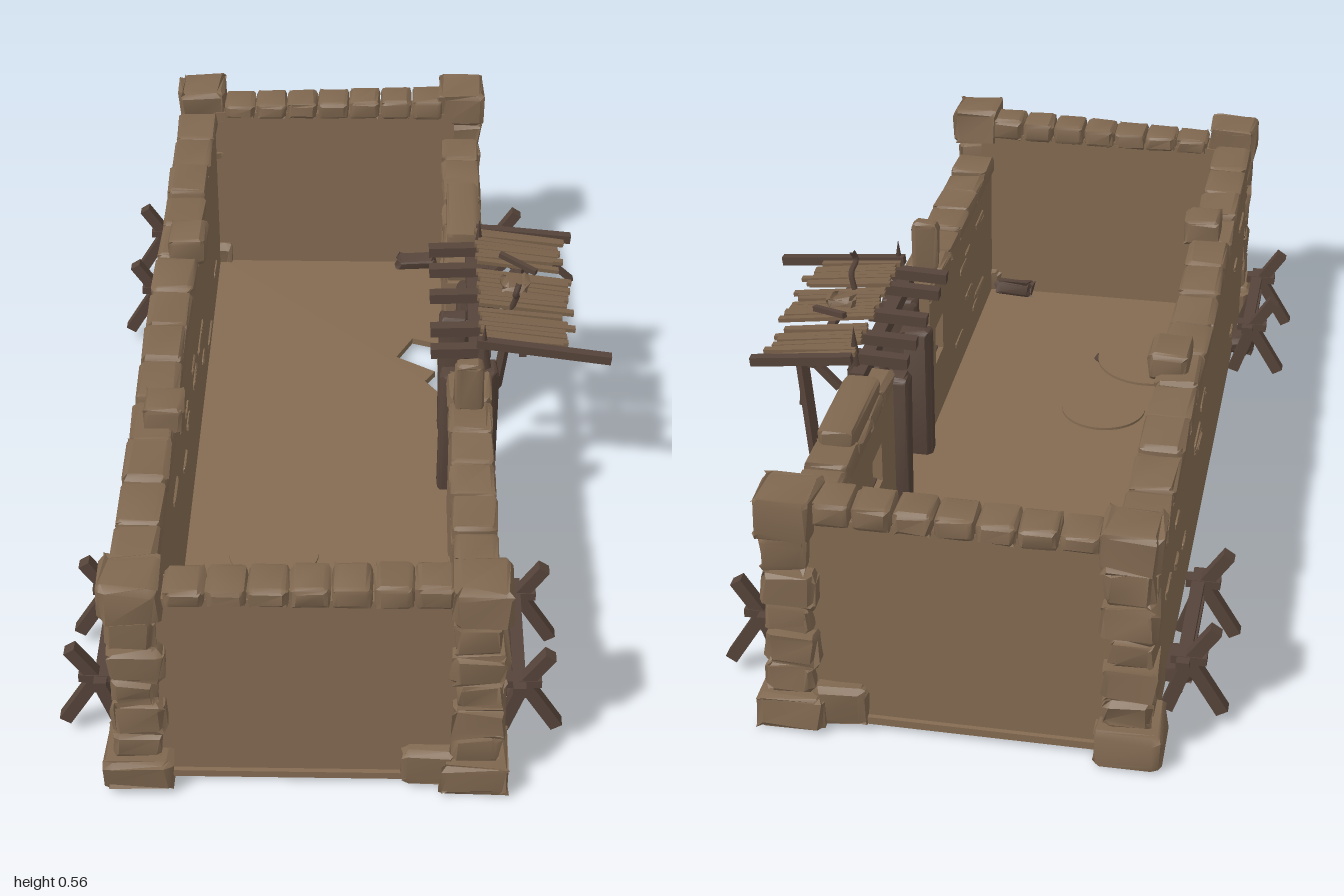
import * as THREE from 'three';
import { toCreasedNormals } from 'three/addons/utils/BufferGeometryUtils.js';

const mat = (name, color) => {
  const m = new THREE.MeshStandardMaterial({ color });
  m.name = name;
  return m;
};

// Repeatable scatter value from a number
const hash = (n) => {
  const s = Math.sin(n * 12.9898) * 43758.5453;
  return s - Math.floor(s);
};

export function createModel() {
  const model = new THREE.Group();
  const clay = mat('sun-baked clay', 0x846b52);
  const stoneMat = mat('weathered stone', 0x806850);
  const wood = mat('dark timber', 0x56443a);
  const plankMat = mat('dry planks', 0x7a624b);
  let seed = 1;

  const group = (name, parent = model) => {
    const g = new THREE.Group();
    g.name = name;
    parent.add(g);
    return g;
  };
  const add = (parent, name, geo, material) => {
    const m = new THREE.Mesh(geo, material);
    m.name = name;
    parent.add(m);
    return m;
  };

  // Worn block given by its min and max corners: bevelled, slightly uneven
  function stone(parent, name, x0, x1, y0, y1, z0, z1, wear = 0.006, material = stoneMat) {
    const size = [x1 - x0, y1 - y0, z1 - z0];
    const geo = new THREE.BoxGeometry(...size, 3, 3, 3);
    const p = geo.attributes.position;
    const id = seed++;
    for (let i = 0; i < p.count; i++) {
      const v = [p.getX(i), p.getY(i), p.getZ(i)];
      const q = v.map((c, k) => Math.round((c / size[k]) * 3 + 1.5));
      const edge = q.filter((c) => c === 0 || c === 3).length;
      const out = v.map((c, k) => {
        const bevel = Math.min(0.012, size[k] * 0.2);
        let r = c;
        if (q[k] === 1 || q[k] === 2) r = Math.sign(c) * (size[k] / 2 - bevel);
        else if (edge > 1) r -= Math.sign(c) * bevel * 0.35;
        return r + (hash(id * 7.3 + q[0] + q[1] * 5 + q[2] * 19 + k * 71) - 0.5) * wear;
      });
      p.setXYZ(i, ...out);
    }
    const m = add(parent, name, toCreasedNormals(geo, 0.55), material);
    m.position.set((x0 + x1) / 2, (y0 + y1) / 2, (z0 + z1) / 2);
    return m;
  }

  // Squared timber running from a to b
  function beam(parent, name, a, b, w = 0.02, h = w, material = wood) {
    const A = new THREE.Vector3(...a), B = new THREE.Vector3(...b);
    const m = add(parent, name, new THREE.BoxGeometry(w, h, A.distanceTo(B)), material);
    m.position.copy(A).lerp(B, 0.5);
    m.lookAt(B);
    return m;
  }
  const poly = (pts, Type = THREE.Shape) => new Type(pts.map((p) => new THREE.Vector2(...p)));

  // Floor slab with a broken hole
  const floor = poly([[-0.44, -0.96], [0.29, -0.96], [0.29, 0.96], [-0.44, 0.96]]);
  floor.holes.push(poly([[0.14, -0.53], [0.2, -0.51], [0.205, -0.3], [0.17, -0.35], [0.195, -0.39], [0.1, -0.45]], THREE.Path));
  const slab = add(model, 'floor', new THREE.ExtrudeGeometry(floor, { depth: 0.016, bevelEnabled: false }), clay);
  slab.rotation.x = Math.PI / 2;
  slab.position.y = 0.03;
  for (const [x, z, r] of [[-0.17, 0.3, 0.1], [-0.25, 0.56, 0.13]]) {
    add(model, 'floorDisc', new THREE.CylinderGeometry(r, r, 0.026, 40), clay).position.set(x, 0.023, z);
  }
  for (const [x, z, r] of [[-0.34, 0.66, 0.05], [-0.14, 0.55, 0.03]]) {
    const d = add(model, 'floorStain', new THREE.CylinderGeometry(r, r, 0.004, 7), wood);
    d.position.set(x, 0.031, z);
  }

  // Plain walls
  const walls = group('walls');
  const wall = (name, w, h, d, x, z) =>
    add(walls, name, new THREE.BoxGeometry(w, h, d), clay).position.set(x, 0.015 + h / 2, z);
  wall('rearLongWall', 0.08, 0.44, 1.86, -0.405, 0);
  wall('frontEndWall', 0.62, 0.46, 0.07, -0.07, 0.915);
  wall('backEndWall', 0.62, 0.46, 0.07, -0.07, -0.915);

  // Entrance wall with a doorway and two windows
  const face = poly([[-0.93, 0.015], [-0.25, 0.015], [-0.25, 0.385], [-0.93, 0.385]]);
  const face2 = poly([[0.12, 0.015], [0.93, 0.015], [0.93, 0.385], [0.12, 0.385]]);
  const windows = [[face, -0.41, 0.245], [face2, 0.22, 0.23]];
  for (const [shape, z, y] of windows) {
    const a = 0.042, b = 0.047;
    shape.holes.push(poly([[z - a, y - b], [z + a, y - b], [z + a, y + b], [z - a, y + b]], THREE.Path));
    const g = group('barredWindow');
    for (const s of [-1, 1]) {
      beam(g, 'windowJamb', [0.265, y - 0.055, z + s * 0.045], [0.265, y + 0.055, z + s * 0.045], 0.014, 0.075);
      beam(g, 'windowSill', [0.265, y + s * 0.05, z - 0.052], [0.265, y + s * 0.05, z + 0.052], 0.075, 0.014);
    }
    for (const k of [-1, 0, 1]) beam(g, 'windowBar', [0.28, y - 0.05, z + k * 0.022], [0.28, y + 0.05, z + k * 0.022], 0.008);
    beam(g, 'windowCrossbar', [0.28, y, z - 0.045], [0.28, y, z + 0.045], 0.008);
  }
  for (const shape of [face, face2]) {
    const m = add(walls, 'entranceWall', new THREE.ExtrudeGeometry(shape, { depth: 0.075, bevelEnabled: false }), clay);
    m.rotation.y = -Math.PI / 2;
    m.position.x = 0.29;
  }

  // Coping stones along the wall tops
  const coping = group('coping');
  function row(from, to, n, place) {
    for (let i = 0; i < n; i++) {
      const a = from + ((to - from) * i) / n, b = from + ((to - from) * (i + 1)) / n;
      place(a + 0.001, b - 0.001, hash(i * 3.1 + from) * 0.012, i);
    }
  }
  row(-0.88, 0.88, 13, (a, b, r) => stone(coping, 'copingStone', -0.452, -0.36, 0.44, 0.478 + r, a, b));
  row(-0.88, -0.26, 6, (a, b, r) => stone(coping, 'copingStone', 0.208, 0.3, 0.37, 0.408 + r, a, b));
  row(0.12, 0.88, 7, (a, b, r) => stone(coping, 'copingStone', 0.208, 0.3, 0.37, 0.405 + r, a, b));
  for (const s of [-1, 1]) {
    row(-0.34, 0.21, 7, (a, b, r, i) => {
      const z = [s * 0.872, s * 0.96].sort((p, q) => p - q);
      stone(coping, 'copingStone', a, b, 0.46, 0.497 + i * 0.003, z[0], z[1], 0.004);
    });
    // Loose foot stone beside each entrance corner
    const z = [s * 0.92, s * 0.98].sort((p, q) => p - q);
    stone(model, 'footStone', 0.11, 0.215, 0.015, 0.1, z[0], z[1], 0.012);
    stone(model, 'cornerTimber', 0.1, 0.2, 0.03, 0.06, s * 0.865 - 0.02, s * 0.865 + 0.02, 0.015, wood);
  }
  stone(coping, 'raisedStone', -0.425, -0.34, 0.46, 0.525, -0.3, -0.2);
  stone(coping, 'raisedStone', -0.425, -0.34, 0.46, 0.525, 0.345, 0.435);
  stone(coping, 'raisedStone', 0.22, 0.28, 0.4, 0.52, 0.23, 0.265);
  stone(coping, 'raisedStone', 0.215, 0.29, 0.4, 0.45, -0.6, -0.36);

  // Corner pillars of stacked stones: bottom, top, half width
  const courses = [[0.008, 0.085, 0.066], [0.085, 0.15, 0.047], [0.15, 0.225, 0.052], [0.225, 0.29, 0.044],
    [0.29, 0.365, 0.053], [0.365, 0.44, 0.046], [0.44, 0.53, 0.056]];
  for (const cx of [-0.4, 0.255]) for (const cz of [-0.934, 0.934]) {
    const g = group('cornerPillar');
    courses.forEach(([y0, y1, h], i) => {
      const dx = (hash(i * 5 + cx * 9 + cz) - 0.5) * 0.012;
      stone(g, 'pillarStone', cx + dx - h, cx + dx + h, y0, y1, cz - h, cz + h, 0.013);
    });
  }

  // Thin exposed bricks on the wall faces
  const bricks = group('exposedBricks');
  for (let i = 0; i < 44; i++) {
    const y = 0.07 + hash(i + 0.3) * 0.28, t = 0.004;
    const len = 0.05 + hash(i + 0.6) * 0.06;
    let z = -0.8 + hash(i * 1.7) * 1.55;
    const x = [-0.445, -0.365, 0.29, 0.215][i % 4];
    const inDoor = z + len > -0.52 && z < 0.32;
    if (i % 4 > 1 && inDoor) z = z < -0.1 ? -0.75 : 0.4 + hash(i) * 0.3;
    stone(bricks, 'brick', x - t, x + t, y, y + 0.016, z, z + len, 0.003, clay);
  }

  // Hitching racks along both long sides, mirrored about the building axis
  const axis = -0.072;
  for (const s of [-1, 1]) for (const cz of [-0.69, 0.69]) {
    const g = group('hitchingRack');
    const X = (x) => axis + s * (x - axis);
    for (const e of [-0.13, 0.13]) {
      const z = cz + e;
      beam(g, 'rackLegOuter', [X(0.425), 0.035, z], [X(0.355), 0.15, z], 0.026, 0.026);
      beam(g, 'rackLegInner', [X(0.315), 0.03, z], [X(0.358), 0.16, z], 0.026, 0.026);
      beam(g, 'rackHorn', [X(0.352), 0.145, z], [X(0.405), 0.225, z], 0.026, 0.026);
      beam(g, 'rackTie', [X(0.32), 0.155, z], [X(0.39), 0.155, z], 0.03, 0.018);
    }
    beam(g, 'topRail', [X(0.345), 0.155, cz - 0.165], [X(0.345), 0.155, cz + 0.165], 0.026, 0.016);
    beam(g, 'middleRail', [X(0.35), 0.12, cz - 0.14], [X(0.35), 0.12, cz + 0.14], 0.02, 0.014);
    beam(g, 'lowerRail', [X(0.335), 0.08, cz - 0.14], [X(0.335), 0.08, cz + 0.14], 0.02, 0.014);
    const x = [X(0.29), X(0.355)].sort((p, q) => p - q);
    stone(g, 'rackStep', x[0], x[1], 0.02, 0.06, cz - 0.045, cz + 0.045, 0.006, wood);
  }

  // Door frame: heavy posts, inner jambs, threshold and spiked tops
  const door = group('doorFrame');
  for (const [post, jamb, spike] of [[0.095, 0.045, 0.122], [-0.222, -0.175, -0.3]]) {
    stone(door, 'doorPost', 0.235, 0.32, 0.01, 0.4, post - 0.03, post + 0.03, 0.006, wood);
    stone(door, 'doorJamb', 0.195, 0.265, 0.015, 0.35, jamb - 0.026, jamb + 0.026, 0.006, wood);
    const p = add(door, 'roofSpike', new THREE.ConeGeometry(0.018, 0.11, 5), wood);
    p.position.set(0.285, 0.475, spike);
  }
  stone(door, 'threshold', 0.2, 0.3, 0.012, 0.03, -0.22, 0.1, 0.004, clay);
  beam(door, 'doorLatch', [0.26, 0.16, 0.08], [0.26, 0.16, 0.0], 0.015);
  beam(door, 'lintel', [0.27, 0.425, -0.34], [0.27, 0.425, 0.14], 0.03, 0.03);
  for (const z of [-0.29, -0.205, -0.1, 0.03, 0.11]) {
    beam(door, 'roofJoist', [0.17, 0.45, z], [0.3, 0.455, z], 0.026, 0.024);
  }

  // Broken canopy over the doorway
  const canopy = group('canopy');
  const roofY = (x) => 0.478 - (x - 0.3) * 0.12;
  beam(canopy, 'sideBeam', [0.27, 0.482, 0.12], [0.56, 0.45, 0.133], 0.02, 0.02);
  beam(canopy, 'sideBeam', [0.28, 0.475, -0.342], [0.5, 0.452, -0.345], 0.02, 0.02);
  beam(canopy, 'crossBeam', [0.37, 0.452, -0.34], [0.37, 0.452, 0.12], 0.016, 0.016);
  for (const [z0, z1, n, reach] of [[-0.335, -0.195, 8, 0.485], [-0.165, -0.025, 8, 0.5], [-0.01, 0.11, 7, 0.49]]) {
    row(z0, z1, n, (a, b, r, i) => {
      const end = reach - hash(i * 2.3 + z0) * 0.035, z = (a + b) / 2;
      const start = 0.275 + (i % 3) * 0.004;
      beam(canopy, 'canopyPlank', [start, roofY(start), z], [end, roofY(end) + r - 0.006, z], b - a, 0.009, plankMat);
    });
  }
  stone(canopy, 'roofRubble', 0.33, 0.39, 0.475, 0.495, -0.13, -0.08, 0.012, plankMat);
  const curl = new THREE.CatmullRomCurve3([[0.35, 0.47, -0.03], [0.36, 0.51, -0.02], [0.355, 0.53, 0.008], [0.362, 0.555, 0.0]]
    .map((p) => new THREE.Vector3(...p)));
  add(canopy, 'bentBranch', new THREE.TubeGeometry(curl, 12, 0.007, 5), wood);
  beam(canopy, 'looseSplinter', [0.33, 0.5, -0.2], [0.41, 0.485, -0.15], 0.012);
  beam(canopy, 'hangingPlank', [0.44, 0.455, -0.25], [0.5, 0.4, -0.25], 0.02, 0.01);
  beam(canopy, 'hangingPlank', [0.39, 0.46, -0.3], [0.405, 0.33, -0.3], 0.014, 0.01);
  beam(canopy, 'brace', [0.32, 0.38, -0.3], [0.39, 0.455, -0.3], 0.016);
  beam(canopy, 'proppingPole', [0.345, 0.012, -0.355], [0.395, 0.455, -0.322], 0.022, 0.018);

  return model;
}
